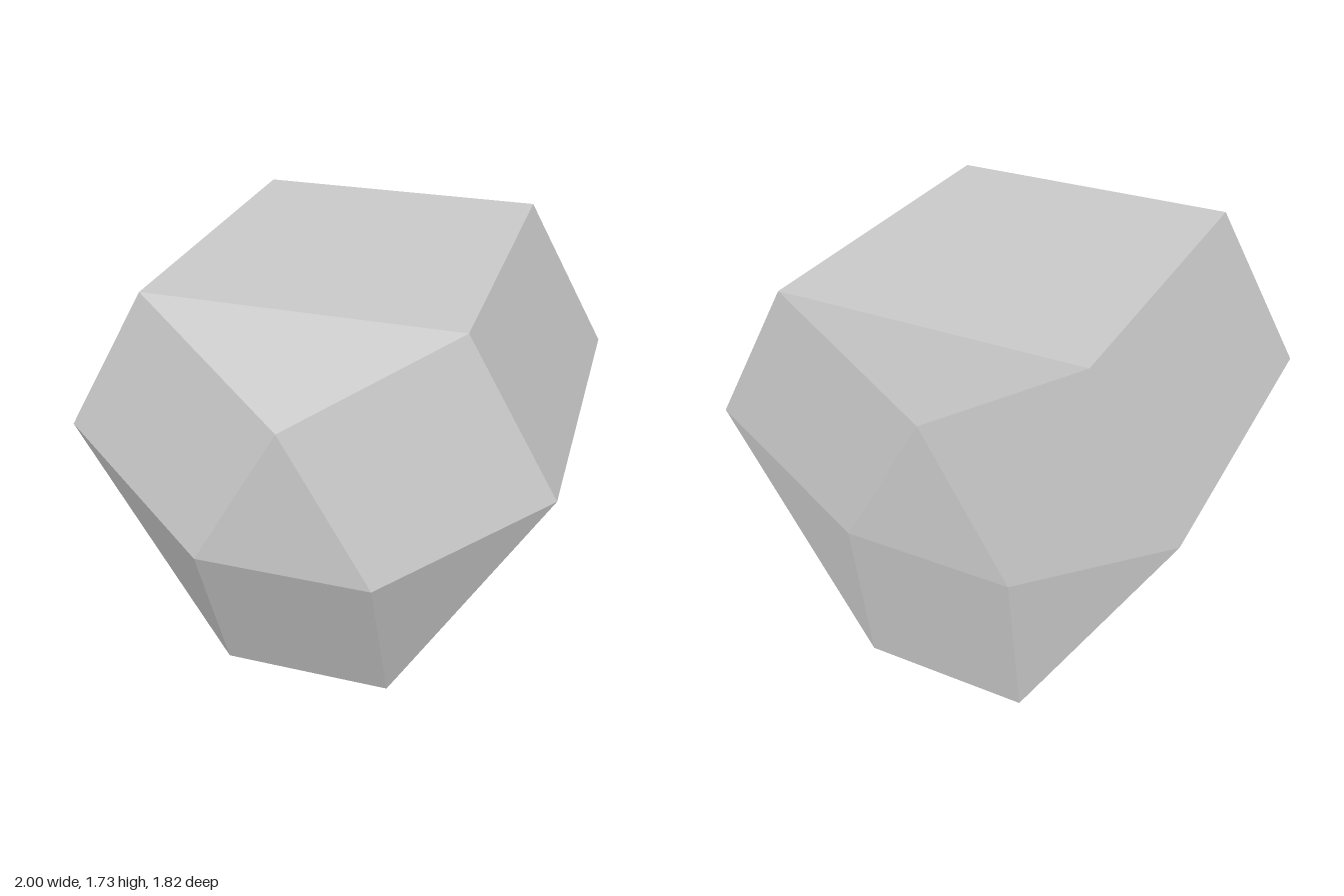
import * as THREE from 'three';

// Outlines, counter-clockwise as seen from the front
const HEX = [[0.366, 0], [1, 1.098], [0.634, 1.732], [-0.634, 1.732], [-1, 1.098], [-0.366, 0]];
const TRI = [[0.366, 0.732], [0, 1.366], [-0.366, 0.732]];

// Flat-faced mesh from convex polygons
function facetMesh(name, polygons) {
  const positions = [];
  for (const p of polygons) {
    for (let i = 1; i < p.length - 1; i++) positions.push(...p[0], ...p[i], ...p[i + 1]);
  }
  const geometry = new THREE.BufferGeometry();
  geometry.setAttribute('position', new THREE.Float32BufferAttribute(positions, 3));
  geometry.computeVertexNormals();
  const material = new THREE.MeshStandardMaterial({ color: 0xcccccc, flatShading: true });
  const mesh = new THREE.Mesh(geometry, material);
  mesh.name = name;
  return mesh;
}

// Faceted cap: hexagon rim at rimZ rising to a small triangle at tipZ
function cap(name, rimZ, tipZ) {
  const hex = HEX.map(([x, y]) => [x, y, rimZ]);
  const tri = TRI.map(([x, y]) => [x, y, tipZ]);
  const faces = [tri];
  for (let k = 0; k < 3; k++) {
    const next = (k + 1) % 3;
    faces.push([hex[2 * k], hex[2 * k + 1], tri[k]]);
    faces.push([hex[2 * k + 1], hex[(2 * k + 2) % 6], tri[next], tri[k]]);
  }
  if (tipZ < rimZ) faces.forEach((f) => f.reverse());
  return facetMesh(name, faces);
}

export function createModel() {
  const group = new THREE.Group();
  group.name = 'crystal';
  const front = 0.64, back = -0.82;

  // Six-sided prism body
  const sides = HEX.map(([x, y], i) => {
    const [u, v] = HEX[(i + 1) % 6];
    return [[x, y, front], [x, y, back], [u, v, back], [u, v, front]];
  });
  group.add(facetMesh('prismBody', sides));

  // Deep front cap and shallow back cap
  group.add(cap('frontCap', front, 0.91));
  group.add(cap('backCap', back, -0.91));
  return group;
}
